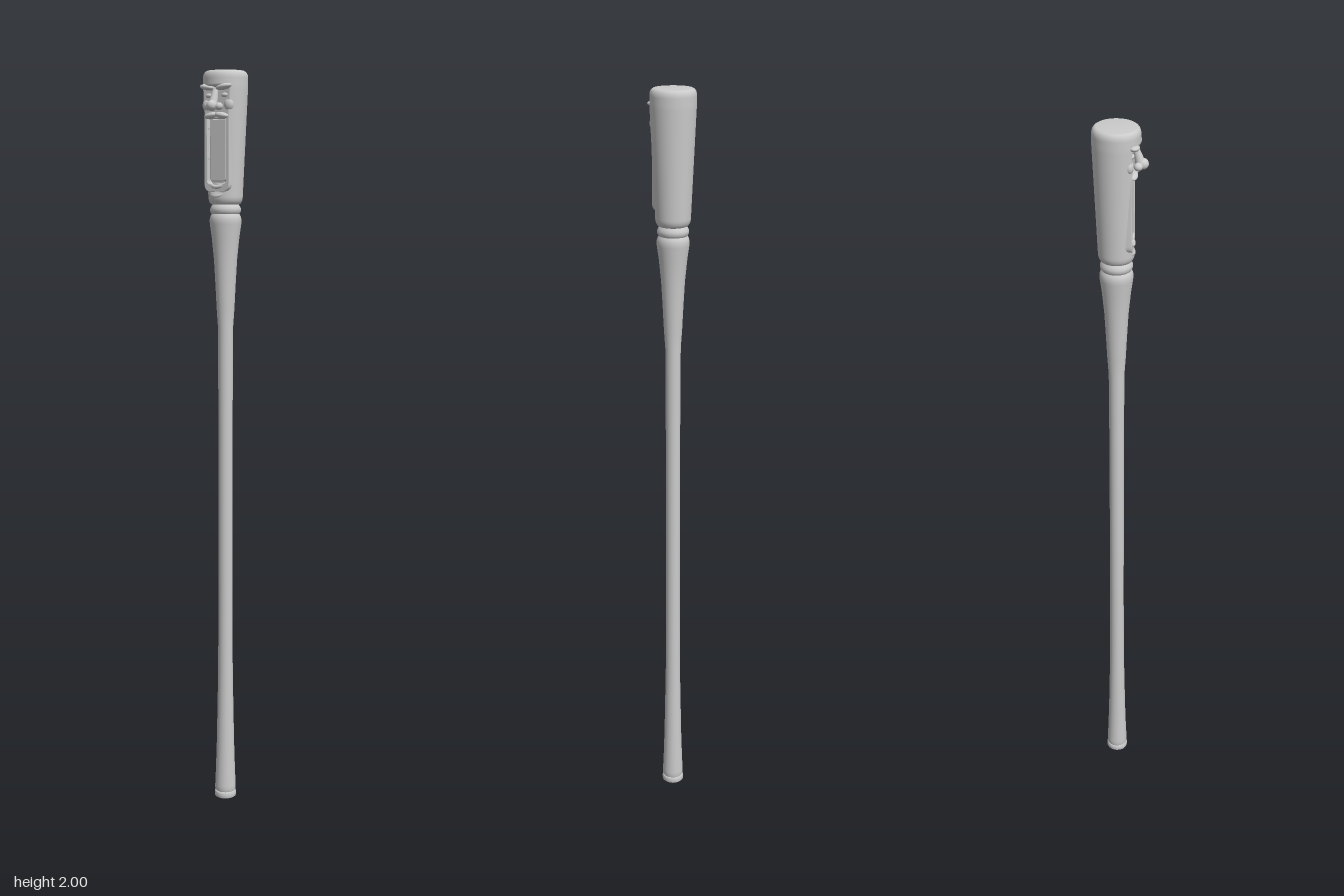
import * as THREE from 'three';

const AXIS_Z = -0.01; // the staff axis sits slightly behind the centre because of the nose
const mat = new THREE.MeshStandardMaterial({ color: 0xcccccc, side: THREE.DoubleSide });

function add(group, name, geometry, x = 0, y = 0, z = 0) {
  const mesh = new THREE.Mesh(geometry, mat);
  mesh.name = name;
  mesh.position.set(x, y, z);
  group.add(mesh);
  return mesh;
}

function lathe(points, segments = 48) {
  return new THREE.LatheGeometry(points.map(([r, y]) => new THREE.Vector2(r, y)), segments);
}

// Ellipsoid lump used for the facial features
function lump(group, name, x, y, z, sx, sy, sz, tilt = 0) {
  const mesh = add(group, name, new THREE.SphereGeometry(1, 20, 14), x, y, z);
  mesh.scale.set(sx, sy, sz);
  mesh.rotation.z = tilt;
  return mesh;
}

// Rounded-bottom panel outline
function panel(path, w, top, bottom, r) {
  path.moveTo(-w, top);
  path.lineTo(-w, bottom + r);
  path.quadraticCurveTo(-w, bottom, -w + r, bottom);
  path.lineTo(w - r, bottom);
  path.quadraticCurveTo(w, bottom, w, bottom + r);
  path.lineTo(w, top);
  path.closePath();
  return path;
}

// Tapered head, cut back below the brow and hollowed at the mouth
function headGeometry() {
  const pts = [[0, 1.655], [0.034, 1.655], [0.04, 1.658], [0.044, 1.665]];
  for (let i = 0; i <= 64; i++) {
    const t = i / 64;
    pts.push([0.0455 + 0.0135 * Math.min(1, t * 1.1), 1.672 + t * 0.313]);
  }
  pts.push([0.0575, 1.992], [0.054, 1.997], [0.049, 2], [0, 2]);
  const g = lathe(pts, 128);
  const p = g.attributes.position;
  for (let i = 0; i < p.count; i++) {
    const x = p.getX(i), y = p.getY(i), z = p.getZ(i);
    if (z < 0 || y > 1.96 || y < 1.685) continue;
    const inMouth = Math.abs(x) < 0.03 && y > 1.705 && y < 1.88;
    p.setZ(i, Math.min(z, inMouth ? 0.029 : 0.041));
  }
  g.computeVertexNormals();
  return g;
}

export function createModel() {
  const model = new THREE.Group();
  model.name = 'carvedStaff';
  const body = new THREE.Group();
  body.name = 'turnedBody';
  body.position.z = AXIS_Z;
  model.add(body);

  // Foot cap and shaft
  add(body, 'footCap', lathe([[0, 0], [0.027, 0], [0.03, 0.003], [0.03, 0.014], [0.027, 0.019], [0, 0.019]]));
  add(body, 'shaft', lathe([
    [0.026, 0.017], [0.029, 0.022], [0.029, 0.035], [0.027, 0.08], [0.0245, 0.16], [0.0225, 0.26],
    [0.0205, 0.37], [0.0195, 0.6], [0.0195, 1.1], [0.0205, 1.33], [0.024, 1.38], [0.027, 1.44],
    [0.031, 1.51], [0.037, 1.57], [0.042, 1.605], [0.0425, 1.617], [0.04, 1.626], [0.036, 1.632],
  ]));
  // Neck bead between shaft and head
  add(body, 'neckBead', lathe([
    [0.034, 1.628], [0.038, 1.632], [0.041, 1.638], [0.041, 1.645], [0.038, 1.651], [0.034, 1.657],
  ]));
  add(body, 'head', headGeometry());

  // Face
  const face = new THREE.Group();
  face.name = 'face';
  model.add(face);

  // Mouth frame around the long recessed panel
  const frame = panel(new THREE.Shape(), 0.038, 1.886, 1.69, 0.02);
  frame.holes.push(panel(new THREE.Path(), 0.031, 1.878, 1.708, 0.012));
  add(face, 'mouthFrame', new THREE.ExtrudeGeometry(frame, {
    depth: 0.016, bevelEnabled: true, bevelThickness: 0.002, bevelSize: 0.0015, bevelSegments: 2, curveSegments: 10,
  }), 0, 0, 0.014);
  add(face, 'mouthPanel', new THREE.ExtrudeGeometry(panel(new THREE.Shape(), 0.024, 1.874, 1.718, 0.008), {
    depth: 0.012, bevelEnabled: true, bevelThickness: 0.002, bevelSize: 0.002, bevelSegments: 2,
  }), 0, 0, 0.012);

  // Curved lower lip and chin ridges
  for (const [name, y, w, r] of [['lowerLip', 1.7, 0.031, 0.005], ['chinRidge', 1.676, 0.03, 0.005]]) {
    const curve = new THREE.QuadraticBezierCurve3(
      new THREE.Vector3(-w, y + 0.014, 0.018), new THREE.Vector3(0, y - 0.012, 0.047), new THREE.Vector3(w, y + 0.014, 0.018));
    add(face, name, new THREE.TubeGeometry(curve, 24, r, 10));
  }

  // Nose bridge and tip
  const bridge = add(face, 'noseBridge', new THREE.CylinderGeometry(0.007, 0.013, 0.05, 16), 0, 1.93, 0.042);
  bridge.rotation.x = -0.3;
  lump(face, 'noseTip', 0, 1.909, 0.053, 0.014, 0.014, 0.015);

  // Mirrored features
  for (const s of [-1, 1]) {
    const side = s > 0 ? 'left' : 'right';
    lump(face, side + 'Nostril', s * 0.016, 1.907, 0.044, 0.011, 0.01, 0.011);
    lump(face, side + 'Brow', s * 0.025, 1.957, 0.035, 0.024, 0.008, 0.014, s * 0.15);
    lump(face, side + 'Eye', s * 0.025, 1.936, 0.029, 0.011, 0.006, 0.007);
    lump(face, side + 'Cheek', s * 0.034, 1.912, 0.024, 0.014, 0.017, 0.011);
    lump(face, side + 'UpperLip', s * 0.017, 1.885, 0.033, 0.021, 0.008, 0.011, -s * 0.15);
  }
  return model;
}
